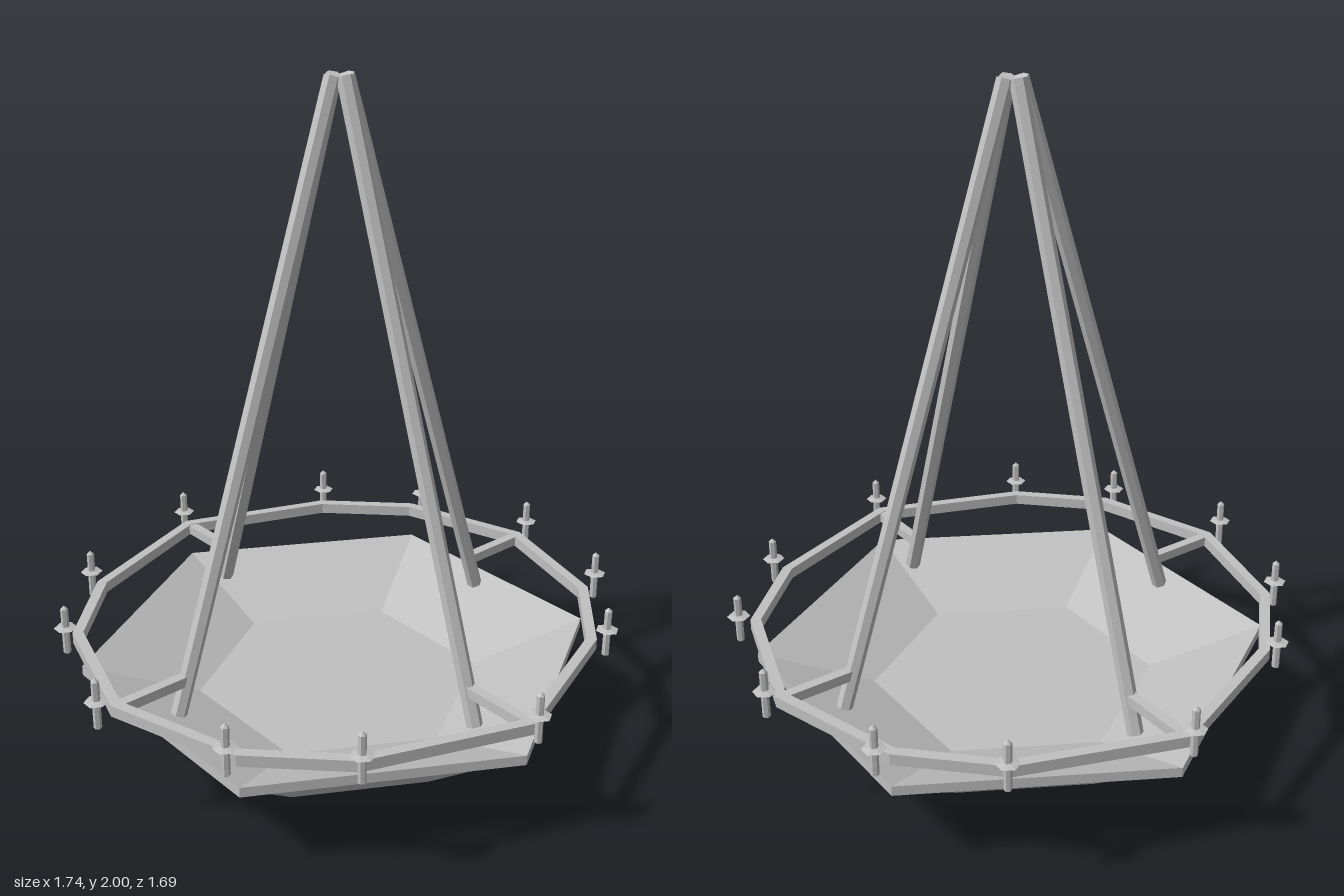
import * as THREE from 'three';

export function createModel() {
  const model = new THREE.Group();
  const iron = new THREE.MeshStandardMaterial({ color: 0xc0c0c0, flatShading: true });
  iron.name = 'grey iron';
  const CX = 0.01; // the bowl and rods sit slightly off the centre

  const add = (name, geometry, x = 0, y = 0, z = 0) => {
    const mesh = new THREE.Mesh(geometry, iron);
    mesh.name = name;
    mesh.position.set(x, y, z);
    model.add(mesh);
    return mesh;
  };
  const lathe = (points) =>
    new THREE.LatheGeometry(points.map(([r, y]) => new THREE.Vector2(r, y)), 6);

  // Six-sided bowl with a rim lip and a shallow hollow
  add('bowl', lathe([
    [0, 0], [0.406, 0], [0.745, 0.26], [0.776, 0.26],
    [0.776, 0.29], [0.43, 0.165], [0, 0.165],
  ]), CX);

  // Ten-cornered ring around the bowl
  const corners = [
    [0.806, 0], [0.685, 0.4], [0.46, 0.625], [0, 0.8], [-0.46, 0.625], [-0.685, 0.4],
    [-0.806, 0], [-0.685, -0.4], [-0.46, -0.625], [0, -0.8], [0.46, -0.625], [0.685, -0.4],
  ];
  const outline = (s) => corners.map(([x, z]) => new THREE.Vector2(x * s, z * s));
  const ringShape = new THREE.Shape(outline(1));
  ringShape.holes.push(new THREE.Path(outline(0.96)));
  const ringGeometry = new THREE.ExtrudeGeometry(ringShape, { depth: 0.034, bevelEnabled: false });
  ringGeometry.rotateX(-Math.PI / 2);
  add('ring', ringGeometry, 0.006, 0.371, 0);

  // Four hanging rods meeting at the top, each with a spoke to the ring
  const up = new THREE.Vector3(0, 1, 0);
  for (const [dx, dz] of [[1, 0], [-1, 0], [0, 1], [0, -1]]) {
    const foot = new THREE.Vector3(CX + dx * 0.592, 0.285, dz * 0.58);
    const top = new THREE.Vector3(CX + dx * 0.024, 1.993, dz * 0.022);
    const direction = top.clone().sub(foot);
    const rod = add('rod', new THREE.CylinderGeometry(0.0235, 0.0235, direction.length(), 6));
    rod.position.copy(foot).lerp(top, 0.5);
    rod.quaternion.setFromUnitVectors(up, direction.normalize());

    const spoke = new THREE.BoxGeometry(dx ? 0.24 : 0.03, 0.03, dz ? 0.24 : 0.03);
    add('spoke', spoke, CX + dx * 0.67, 0.388, dz * 0.67);
  }

  // Candle spindles with small drip pans, one at each corner of the ring
  const candle = lathe([
    [0, 0.347], [0.0115, 0.355], [0.0115, 0.428], [0.034, 0.436],
    [0.0115, 0.441], [0.0115, 0.498], [0, 0.509],
  ]);
  const places = [
    [0.842, 0], [-0.842, 0], [0.008, 0.812], [0.008, -0.812],
  ];
  for (const sz of [1, -1]) {
    places.push([0.73, 0.392 * sz], [-0.704, 0.392 * sz], [0.488, 0.642 * sz], [-0.463, 0.642 * sz]);
  }
  for (const [x, z] of places) add('candleSpindle', candle, x, 0, z);

  return model;
}
